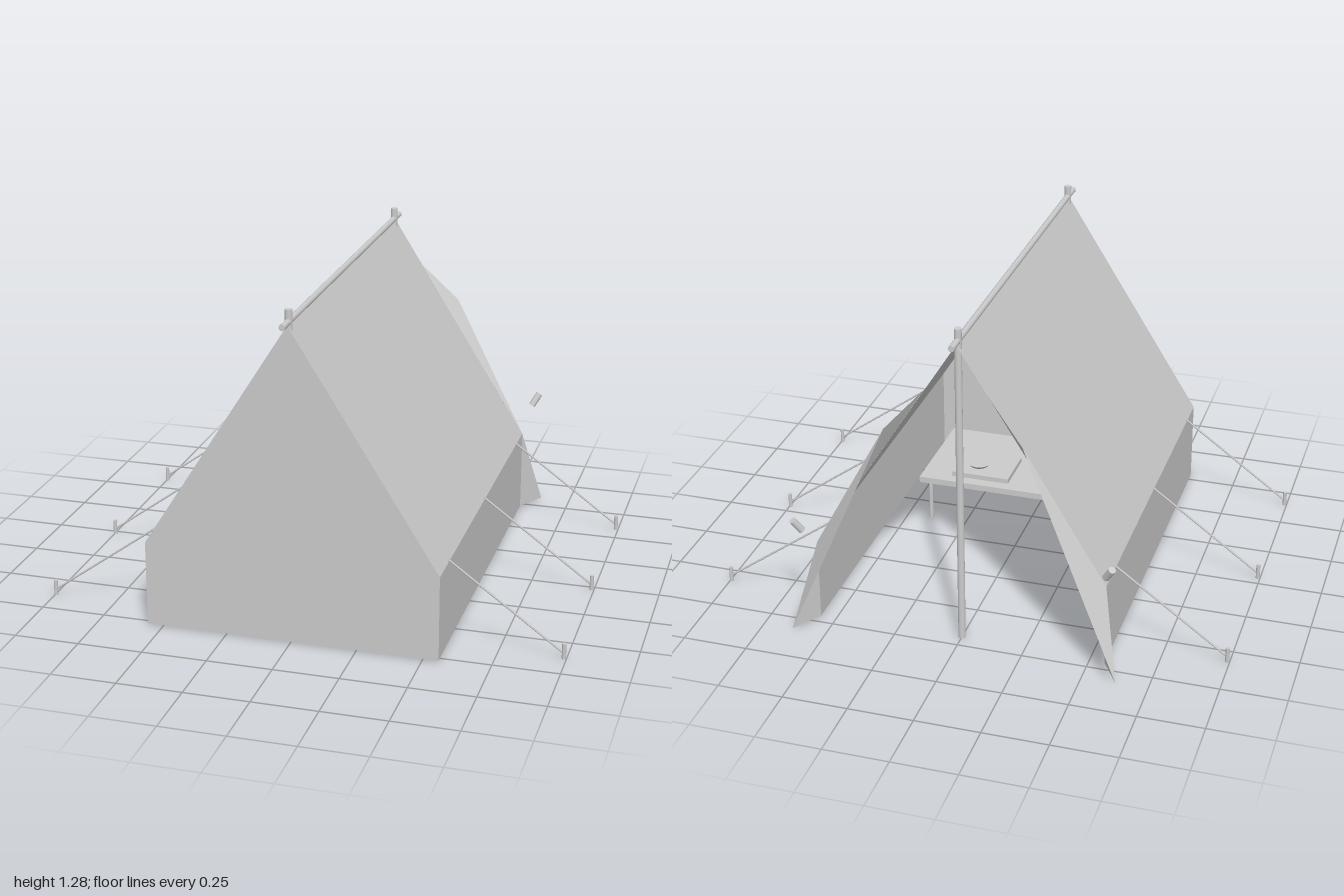
import * as THREE from 'three';

const canvasMat = new THREE.MeshStandardMaterial({ color: 0xcccccc, side: THREE.DoubleSide, flatShading: true });
const solidMat = new THREE.MeshStandardMaterial({ color: 0xcccccc });

const W = 0.56, EAVE = 0.335, RIDGE = 1.225, BASE = 0.005;
const FRONT = 0.78, BACK = -0.715;

export function createModel() {
  const model = new THREE.Group();

  const add = (name, geometry, material = solidMat, parent = model) => {
    const mesh = new THREE.Mesh(geometry, material);
    mesh.name = name;
    parent.add(mesh);
    return mesh;
  };

  // Round bar between two points
  const bar = (name, from, to, radius, sides = 12, parent = model) => {
    const a = new THREE.Vector3(...from), b = new THREE.Vector3(...to);
    const mesh = add(name, new THREE.CylinderGeometry(radius, radius, a.distanceTo(b), sides), solidMat, parent);
    mesh.position.copy(a).add(b).multiplyScalar(0.5);
    mesh.quaternion.setFromUnitVectors(new THREE.Vector3(0, 1, 0), b.sub(a).normalize());
    return mesh;
  };

  // Flat cloth pieces from triangles of corner points
  const cloth = (name, points, faces) => {
    const g = new THREE.BufferGeometry();
    g.setAttribute('position', new THREE.Float32BufferAttribute(points.flat(), 3));
    g.setIndex(faces.flat());
    const flat = g.toNonIndexed();
    flat.computeVertexNormals();
    return add(name, flat, canvasMat);
  };

  // Closed end wall
  const wall = new THREE.Shape([
    [-W, BASE], [W, BASE], [W, EAVE], [0, RIDGE], [-W, EAVE],
  ].map(([x, y]) => new THREE.Vector2(x, y)));
  add('frontWall', new THREE.ShapeGeometry(wall), canvasMat).position.z = FRONT;

  for (const s of [1, -1]) {
    const side = s > 0 ? 'left' : 'right';
    // Winding is reversed on the mirrored side so that faces point outwards
    const wind = (faces) => (s > 0 ? faces : faces.map(([a, b, c]) => [a, c, b]));

    // Roof slope and low side wall
    const quad = [[0, 1, 2], [0, 2, 3]];
    cloth(side + 'Roof', [
      [s * W, EAVE, FRONT], [s * W, EAVE, BACK], [0, RIDGE, BACK], [0, RIDGE, FRONT],
    ], wind(quad));
    cloth(side + 'SideWall', [
      [s * W, BASE, FRONT], [s * W, BASE, BACK], [s * W, EAVE, BACK], [s * W, EAVE, FRONT],
    ], wind(quad));

    // Door flap folded outwards along the opening
    cloth(side + 'DoorFlap', [
      [s * 0.117, 1.04, BACK], [s * 0.26, 0.885, -0.77], [s * 0.63, BASE, -0.83],
      [s * W, BASE, BACK], [s * W, EAVE, BACK],
    ], wind([[0, 4, 1], [4, 2, 1], [4, 3, 2]]));

    // Toggle holding the flap
    bar(side + 'FlapToggle', [s * 0.58, 0.432, -0.807], [s * 0.607, 0.48, -0.827], 0.014);

    // Guy ropes and pegs
    for (const z of [0.64, 0.033, -0.577]) {
      bar(side + 'GuyRope', [s * W, 0.342, z], [s * 0.988, 0.03, z], 0.004, 6);
      bar(side + 'Peg', [s * 0.992, 0.005, z], [s * 0.992, 0.066, z], 0.008, 8);
    }
  }

  // Ridge pole and uprights
  bar('ridgePole', [0, 1.235, 0.84], [0, 1.235, -0.77], 0.012);
  for (const z of [0.76, -0.692]) bar('uprightPole', [0, 0, z], [0, 1.28, z], 0.014);

  // Low table inside
  const table = new THREE.Group();
  table.name = 'table';
  table.position.z = 0.315;
  model.add(table);
  add('tableTop', new THREE.BoxGeometry(0.87, 0.025, 0.45), solidMat, table).position.y = 0.193;
  for (const x of [-0.4, 0.4])
    for (const z of [-0.187, 0.187]) bar('tableLeg', [x, 0, z], [x, 0.185, z], 0.009, 10, table);

  // Sheet and small dish on the table
  add('tableBook', new THREE.BoxGeometry(0.24, 0.02, 0.2), solidMat, table).position.set(0.19, 0.216, -0.08);
  add('tableDish', new THREE.CylinderGeometry(0.05, 0.04, 0.012, 20), solidMat, table).position.set(0.22, 0.232, -0.09);

  return model;
}
